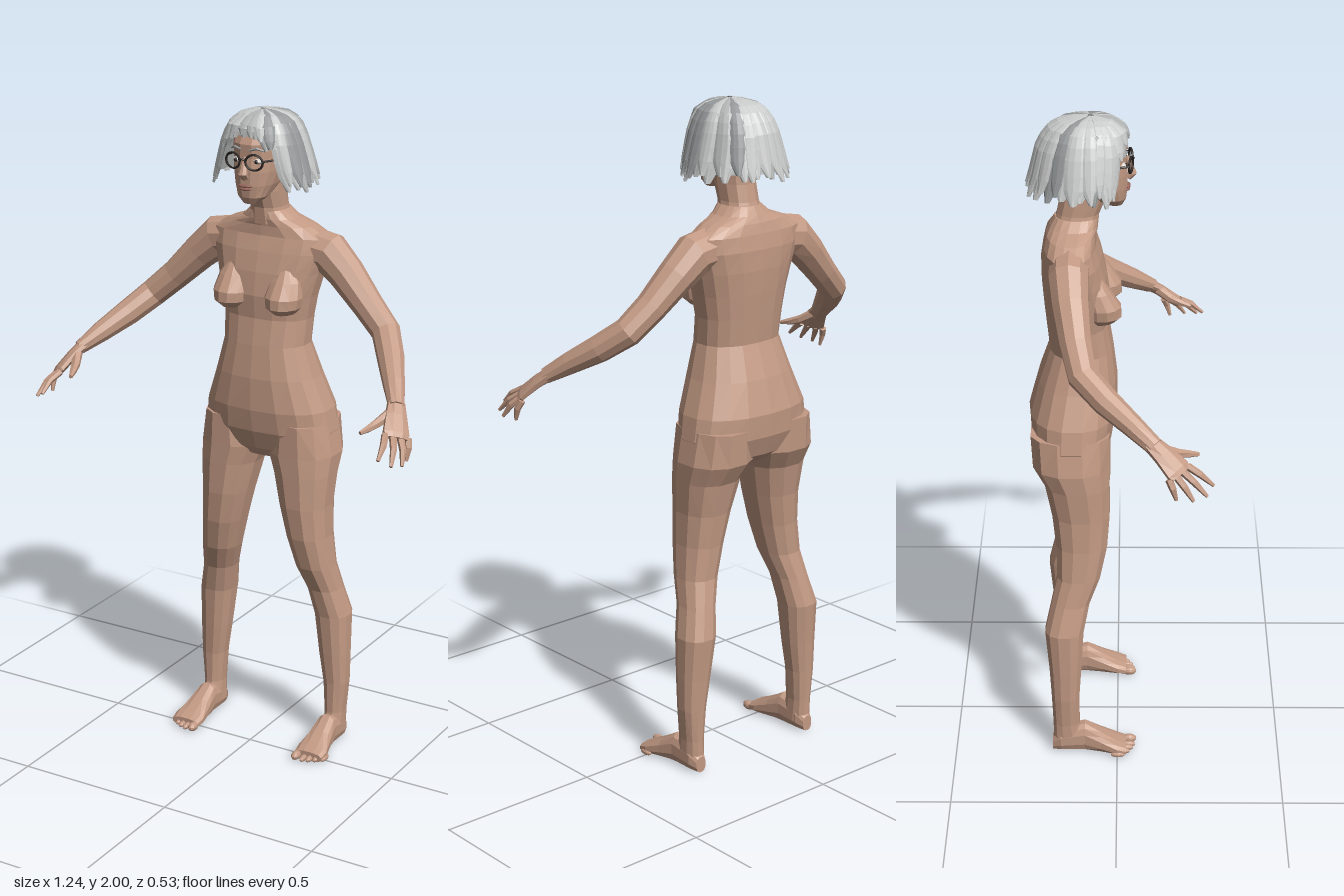
import * as THREE from 'three';

const V = (x, y, z) => new THREE.Vector3(x, y, z);
const mat = (name, color, side = THREE.FrontSide) => {
  const m = new THREE.MeshStandardMaterial({ color, side });
  m.name = name;
  return m;
};

// Faceted geometry from a triangle list
function faceted(points, index) {
  const g = new THREE.BufferGeometry().setFromPoints(points);
  g.setIndex(index);
  const flat = g.toNonIndexed();
  flat.computeVertexNormals();
  return flat;
}

// Rounded cross-section; n = 2 is an ellipse, larger is squarer
function ring(c, u, v, seg = 12, n = 2.2) {
  const f = (a) => Math.sign(a) * Math.abs(a) ** (2 / n);
  return Array.from({ length: seg }, (_, i) => {
    const a = ((i + 0.5) / seg) * Math.PI * 2;
    return c.clone().addScaledVector(u, f(Math.cos(a))).addScaledVector(v, f(Math.sin(a)));
  });
}

// Closed skin over a row of cross-sections, always facing outward
function loft(rings) {
  const s = rings[0].length, pts = rings.flat(), idx = [];
  for (let r = 0; r < rings.length - 1; r++) {
    for (let i = 0; i < s; i++) {
      const a = r * s + i, b = r * s + (i + 1) % s;
      idx.push(a, b, a + s, b, b + s, a + s);
    }
  }
  const last = (rings.length - 1) * s;
  for (let i = 1; i < s - 1; i++) idx.push(0, i + 1, i, last, last + i, last + i + 1);
  let volume = 0;
  for (let i = 0; i < idx.length; i += 3) {
    volume += pts[idx[i]].dot(pts[idx[i + 1]].clone().cross(pts[idx[i + 2]]));
  }
  return faceted(pts, volume < 0 ? idx.reverse() : idx);
}

// Horizontal sections: [y, x0, x1, zFront, zBack]
const stack = (rows, seg, n) => loft(rows.map(([y, x0, x1, zf, zb]) =>
  ring(V((x0 + x1) / 2, y, (zf + zb) / 2), V((x1 - x0) / 2, 0, 0), V(0, 0, (zf - zb) / 2), seg, n)));

// Limb along a path: [x, y, z, width radius, thickness radius]; side = width direction
function limb(rows, side, seg = 8) {
  const p = rows.map((r) => V(r[0], r[1], r[2]));
  return loft(rows.map((r, i) => {
    const dir = p[Math.min(i + 1, p.length - 1)].clone().sub(p[Math.max(i - 1, 0)]).normalize();
    const u = side.clone().addScaledVector(dir, -side.dot(dir)).normalize();
    const v = dir.clone().cross(u);
    return ring(p[i], u.multiplyScalar(r[3]), v.multiplyScalar(r[4] ?? r[3]), seg, 2);
  }));
}

// Open sheet sampled from fn(s, t)
function sheet(fn, ns, nt) {
  const pts = [], idx = [];
  for (let j = 0; j <= nt; j++) for (let i = 0; i <= ns; i++) pts.push(fn(i / ns, j / nt));
  for (let j = 0; j < nt; j++) {
    for (let i = 0; i < ns; i++) {
      const a = j * (ns + 1) + i, b = a + ns + 1;
      idx.push(a, b, a + 1, a + 1, b, b + 1);
    }
  }
  return faceted(pts, idx);
}

// Hair surface: rows of [side radius, front radius, back radius, y] from crown to hem
const hairRows = [[0.008, 0.01, 0.01, 1.998], [0.06, 0.06, 0.08, 1.99], [0.097, 0.1, 0.125, 1.962],
  [0.118, 0.112, 0.15, 1.91], [0.138, 0.11, 0.165, 1.845], [0.155, 0.105, 0.182, 1.78]];
function hairPoint(phi, u, k = 1) {
  const f = Math.min(u, 1.05) * 5, i = Math.min(Math.floor(f), 4);
  const [rx, rf, rb, y] = hairRows[i].map((a, j) => a + (hairRows[i + 1][j] - a) * (f - i));
  const c = Math.cos(phi);
  return V(rx * k * Math.sin(phi), 1.78 + (y - 1.78) * (0.9 + 0.1 * k), -0.075 + (c > 0 ? rf : rb) * k * c);
}
function hairEnd(phi) {
  const a = Math.abs(Math.atan2(Math.sin(phi), Math.cos(phi)));
  return a < 0.35 ? 0.53 : a < 0.85 ? 0.53 + (a - 0.35) * 0.4 : 0.98;
}

export function createModel() {
  const skin = mat('skin', 0xc39a84);
  const lip = mat('lips', 0x96655a);
  const dark = mat('dark frame', 0x2b2523);
  const white = mat('eye white', 0xd8d2cb);
  const greys = [mat('light grey hair', 0xcbcdcc, THREE.DoubleSide),
    mat('mid grey hair', 0xb4b6b6, THREE.DoubleSide), mat('deep grey hair', 0x979a9b, THREE.DoubleSide)];
  const model = new THREE.Group();
  const add = (name, geo, m, parent = model) => {
    const mesh = new THREE.Mesh(geo, m);
    mesh.name = name;
    parent.add(mesh);
    return mesh;
  };
  // Faceted ellipsoid
  const blob = (name, m, p, r, parent) => {
    const g = new THREE.SphereGeometry(1, 10, 7).scale(...r).translate(...p).toNonIndexed();
    g.computeVertexNormals();
    return add(name, g, m, parent);
  };

  // Torso and neck: [y, half width, zFront, zBack]
  const wide = (rows) => rows.map(([y, w, f, b]) => [y, -w, w, f, b]);
  add('torso', stack(wide([[0.94, 0.09, -0.06, -0.2], [0.97, 0.16, -0.035, -0.235], [1.03, 0.215, -0.012, -0.258],
    [1.1, 0.203, 0, -0.262], [1.2, 0.165, 0, -0.235], [1.3, 0.135, -0.012, -0.2], [1.38, 0.14, -0.025, -0.208],
    [1.45, 0.153, -0.02, -0.215], [1.52, 0.172, -0.03, -0.22], [1.58, 0.192, -0.045, -0.22],
    [1.625, 0.195, -0.06, -0.213], [1.655, 0.14, -0.06, -0.205], [1.675, 0.085, -0.055, -0.195],
    [1.7, 0.056, -0.055, -0.18]]), 18, 2.4), skin);
  add('neck', stack(wide([[1.66, 0.065, -0.055, -0.19], [1.71, 0.053, -0.05, -0.175],
    [1.76, 0.052, -0.03, -0.165], [1.82, 0.052, -0.03, -0.16]]), 12), skin);

  // Head
  add('head', stack(wide([[1.735, 0.022, 0.015, -0.03], [1.755, 0.043, 0.025, -0.07], [1.79, 0.058, 0.03, -0.13],
    [1.83, 0.068, 0.03, -0.165], [1.87, 0.073, 0.026, -0.18], [1.91, 0.074, 0.028, -0.18],
    [1.95, 0.066, 0.008, -0.17], [1.975, 0.04, -0.03, -0.13]]), 16, 2.4), skin);
  add('nose', limb([[0, 1.875, 0.026, 0.007], [0, 1.85, 0.036, 0.009], [0, 1.828, 0.043, 0.015, 0.012],
    [0, 1.815, 0.03, 0.013, 0.01]], V(1, 0, 0)), skin);
  blob('upperLip', lip, [0, 1.79, 0.028], [0.024, 0.005, 0.01]);
  blob('lowerLip', lip, [0, 1.781, 0.026], [0.02, 0.005, 0.01]);

  // Glasses bridge
  add('glassesBridge', limb([[-0.009, 1.868, 0.042, 0.003], [0, 1.872, 0.046, 0.003],
    [0.009, 1.868, 0.042, 0.003]], V(0, 1, 0), 6), dark);

  for (const s of [1, -1]) {
    const half = new THREE.Group();
    half.name = s > 0 ? 'leftSide' : 'rightSide';
    model.add(half);
    const mx = (rows) => rows.map(([x, ...r]) => [s * x, ...r]);

    // Eye, brow, ear and glasses
    blob('eye', white, [s * 0.034, 1.863, 0.014], [0.014, 0.008, 0.012], half);
    blob('iris', dark, [s * 0.034, 1.863, 0.023], [0.006, 0.006, 0.005], half);
    add('eyebrow', limb(mx([[0.014, 1.895, 0.028, 0.003], [0.036, 1.902, 0.025, 0.004],
      [0.056, 1.893, 0.01, 0.002]]), V(0, 1, 0), 6), greys[2], half);
    blob('ear', skin, [s * 0.075, 1.85, -0.075], [0.01, 0.03, 0.018], half);
    const rim = new THREE.TorusGeometry(0.025, 0.0035, 6, 18).scale(1.05, 0.9, 1);
    add('glassesRim', rim.rotateY(s * 0.2).translate(s * 0.035, 1.864, 0.038), dark, half);
    add('glassesTemple', limb(mx([[0.061, 1.868, 0.032, 0.003], [0.079, 1.868, -0.01, 0.003],
      [0.079, 1.865, -0.08, 0.003]]), V(0, 1, 0), 6), dark, half);

    // Chest form
    const chest = [[1.56, 0.07, 0.1, -0.06, -0.1], [1.5, 0.04, 0.135, -0.018, -0.1],
      [1.455, 0.03, 0.145, 0.012, -0.1], [1.425, 0.035, 0.14, 0.014, -0.1], [1.405, 0.055, 0.12, -0.008, -0.1]];
    add('chest', stack(chest.map(([y, a, b, f, k]) => [y, s * a, s * b, f, k]), 12, 2), skin, half);

    // Leg: [y, inner, outer, zFront, zBack]
    const leg = [[1.06, 0.03, 0.208, -0.02, -0.258], [0.96, 0.008, 0.226, -0.02, -0.252], [0.9, 0.033, 0.222, -0.02, -0.217],
      [0.8, 0.058, 0.215, -0.02, -0.196], [0.7, 0.083, 0.217, -0.028, -0.185], [0.6, 0.108, 0.227, -0.05, -0.182],
      [0.52, 0.135, 0.24, -0.082, -0.2], [0.43, 0.15, 0.263, -0.1, -0.22], [0.3, 0.166, 0.263, -0.108, -0.208],
      [0.2, 0.182, 0.261, -0.115, -0.202], [0.1, 0.19, 0.251, -0.115, -0.198], [0.03, 0.188, 0.25, -0.1, -0.198]];
    add('leg', stack(leg.map(([y, a, b, f, k]) => [y, s * a, s * b, f, k]), 12, 2.3), skin, half);

    // Foot sections: [z, inner, outer, height]
    const foot = [[-0.2, 0.202, 0.238, 0.05], [-0.175, 0.19, 0.25, 0.08], [-0.1, 0.187, 0.252, 0.1],
      [-0.05, 0.18, 0.262, 0.07], [0, 0.173, 0.275, 0.042], [0.028, 0.176, 0.272, 0.03]];
    add('foot', loft(foot.map(([z, a, b, h]) =>
      ring(V(s * (a + b) / 2, h / 2, z), V((b - a) / 2, 0, 0), V(0, h / 2, 0), 12, 2.5))), skin, half);
    for (let i = 0; i < 5; i++) {
      const r = i ? 0.0095 : 0.014;
      blob('toe', skin, [s * (0.188 + (i ? 0.006 : 0) + i * 0.0185), r, 0.037 - i * i * 0.0022], [r, r, 0.023], half);
    }

    // Arm
    add('arm', limb(mx([[0.12, 1.59, -0.135, 0.06, 0.065], [0.19, 1.58, -0.137, 0.058, 0.064],
      [0.25, 1.527, -0.13, 0.053, 0.055], [0.33, 1.447, -0.115, 0.046, 0.046], [0.4, 1.383, -0.095, 0.043],
      [0.45, 1.33, -0.03, 0.04], [0.5, 1.28, 0.045, 0.032], [0.54, 1.238, 0.105, 0.026, 0.021]]),
    V(0, 0, 1), 10), skin, half);

    // Hand: palm, four fingers and thumb
    const across = V(s * 0.055, -0.02, -0.06);
    add('palm', limb(mx([[0.532, 1.247, 0.092, 0.026, 0.019], [0.552, 1.218, 0.13, 0.034, 0.016],
      [0.572, 1.182, 0.168, 0.042, 0.014], [0.578, 1.172, 0.178, 0.036, 0.01]]), across), skin, half);
    const tips = [[0.568, 1.132, 0.268], [0.6, 1.115, 0.25], [0.615, 1.108, 0.212], [0.604, 1.106, 0.165]];
    tips.forEach(([x, y, z], i) => {
      const k = [0.552 + i * 0.015, 1.184 - i * 0.006, 0.195 - i * 0.017];
      const mid = [(k[0] + x) / 2 + 0.005, (k[1] + y) / 2 + 0.006, (k[2] + z) / 2];
      add('finger', limb(mx([[...k, 0.011], [...mid, 0.01], [x, y, z, 0.005]]), across, 6), skin, half);
    });
    add('thumb', limb(mx([[0.535, 1.228, 0.125, 0.016], [0.515, 1.205, 0.165, 0.014],
      [0.502, 1.195, 0.198, 0.011], [0.49, 1.188, 0.228, 0.006]]), across, 6), skin, half);
  }

  // Hair cap under the locks
  const hair = new THREE.Group();
  hair.name = 'hair';
  model.add(hair);
  add('hairCap', sheet((a, t) => {
    const phi = -a * Math.PI * 2;
    return hairPoint(phi, t * hairEnd(phi) * 0.95, 0.95);
  }, 40, 8), greys[1], hair);

  // Overlapping tapered locks in two layers
  let seed = 7;
  const rnd = () => (seed = (seed * 16807) % 2147483647) / 2147483647;
  for (let layer = 0; layer < 2; layer++) {
    const count = 22;
    for (let i = 0; i < count; i++) {
      const phi = ((i + layer * 0.5) / count) * Math.PI * 2;
      const end = hairEnd(phi) * (0.97 + rnd() * 0.08) - layer * 0.04;
      const half = 0.17 + rnd() * 0.06, lean = (rnd() - 0.5) * 0.12, lift = 0.98 + layer * 0.025 + rnd() * 0.02;
      add('hairLock', sheet((a, t) => {
        const w = half * (t < 0.75 ? 1 : 1 - ((t - 0.75) / 0.25) ** 2 * 0.75);
        const e = (0.5 - a) * 2;
        return hairPoint(phi + e * w + lean * t, t * end, lift + (1 - e * e) * 0.045);
      }, 4, 8), greys[rnd() < 0.6 ? 0 : rnd() < 0.7 ? 1 : 2], hair);
    }
  }
  return model;
}
